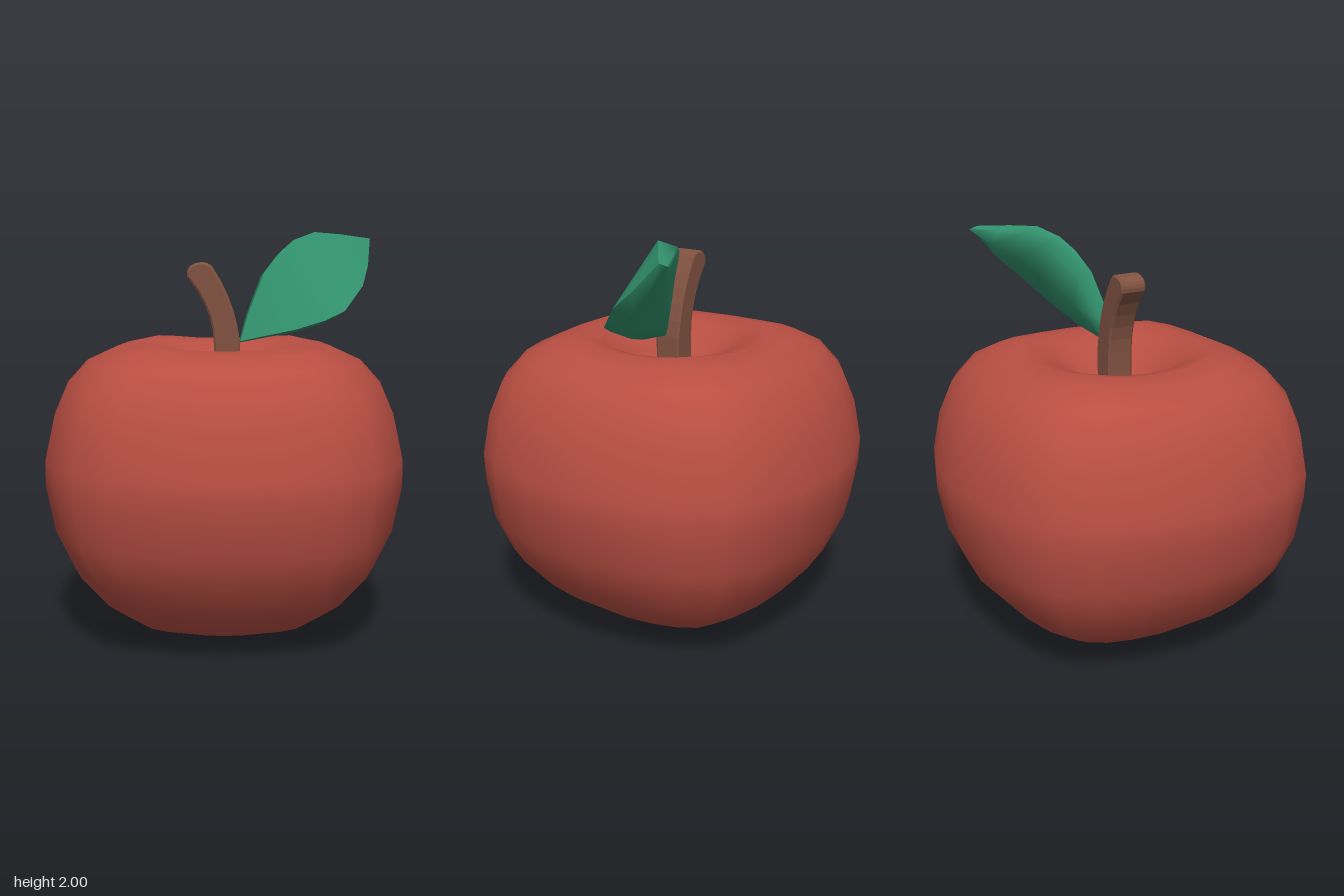
import * as THREE from 'three';
import { mergeVertices } from 'three/addons/utils/BufferGeometryUtils.js';

// Smooth skin over rows of points, all rows of equal length
function skin(rows) {
  const n = rows[0].length, index = [];
  for (let i = 0; i < rows.length - 1; i++) {
    for (let j = 0; j < n - 1; j++) {
      const a = i * n + j, c = a + n;
      index.push(a, a + 1, c, a + 1, c + 1, c);
    }
  }
  const geometry = new THREE.BufferGeometry().setFromPoints(rows.flat());
  geometry.setIndex(index);
  geometry.computeVertexNormals();
  return geometry;
}

// Lathed fruit, pushed out towards a rounded square, with a sunken top
function fruitGeometry() {
  const profile = [
    [0, 0], [0.13, 0.005], [0.27, 0.025], [0.45, 0.09], [0.62, 0.21], [0.76, 0.37],
    [0.85, 0.56], [0.895, 0.78], [0.895, 0.9], [0.85, 1.1], [0.78, 1.26], [0.68, 1.37],
    [0.56, 1.425], [0.44, 1.445], [0.33, 1.42], [0.22, 1.34], [0.11, 1.275], [0, 1.26],
  ].map(([r, y]) => new THREE.Vector2(r, y));
  let geometry = new THREE.LatheGeometry(profile, 24);
  geometry.deleteAttribute('uv');
  geometry.deleteAttribute('normal');
  const p = geometry.attributes.position;
  for (let i = 0; i < p.count; i++) {
    const x = p.getX(i), y = p.getY(i), z = p.getZ(i);
    const r = Math.hypot(x, z), a = Math.atan2(x, z);
    const corner = Math.abs(Math.sin(2 * a)) ** 2.5;
    const bulge = 1 + corner * (0.067 + 0.04 * Math.min(1, Math.abs(y - 0.8) / 0.6));
    const angle = a + 0.07 * Math.sin(4 * a);
    const rim = y > 1.2 ? Math.max(0, 1 - Math.abs(r - 0.45) / 0.3) : 0;
    p.setXYZ(i, r * bulge * Math.sin(angle), y + 0.022 * rim * corner, r * bulge * Math.cos(angle));
  }
  geometry = mergeVertices(geometry, 1e-4);
  geometry.computeVertexNormals();
  return geometry;
}

// Curved, square-sectioned stem
function stemGeometry() {
  const s = new THREE.Shape();
  s.moveTo(-0.04, 1.24);
  s.lineTo(0.07, 1.24);
  s.lineTo(0.07, 1.45);
  s.quadraticCurveTo(0.05, 1.65, -0.065, 1.82);
  s.quadraticCurveTo(-0.09, 1.85, -0.14, 1.835);
  s.quadraticCurveTo(-0.18, 1.82, -0.17, 1.78);
  s.quadraticCurveTo(-0.04, 1.62, -0.04, 1.45);
  const geometry = new THREE.ExtrudeGeometry(s, {
    depth: 0.11, curveSegments: 5, bevelThickness: 0.01, bevelSize: 0.01, bevelSegments: 1,
  });
  return geometry.translate(0, 0, -0.057);
}

export function createModel() {
  const red = new THREE.MeshStandardMaterial({ color: 0xb84e42 });
  red.name = 'appleRed';
  const brown = new THREE.MeshStandardMaterial({ color: 0x805241 });
  brown.name = 'stemBrown';
  const green = new THREE.MeshStandardMaterial({ color: 0x32926e, side: THREE.DoubleSide });
  green.name = 'leafGreen';

  const model = new THREE.Group();
  model.name = 'apple';
  const add = (parent, name, geometry, material) => {
    const mesh = new THREE.Mesh(geometry, material);
    mesh.name = name;
    parent.add(mesh);
  };

  add(model, 'fruit', fruitGeometry(), red);
  add(model, 'stem', stemGeometry(), brown);

  // Leaf stations: upper edge, lower edge, thickness
  const stations = [
    [[0.08, 1.465, 0.05], [0.081, 1.464, 0.05], 0.03],
    [[0.12, 1.6, 0.02], [0.2, 1.49, 0.05], 0.06],
    [[0.2, 1.8, -0.03], [0.35, 1.52, 0.05], 0.085],
    [[0.28, 1.9, -0.08], [0.5, 1.565, 0.035], 0.1],
    [[0.35, 1.96, -0.13], [0.6, 1.61, 0], 0.1],
    [[0.46, 2.0, -0.2], [0.7, 1.73, -0.12], 0.09],
    [[0.6, 1.99, -0.29], [0.74, 1.83, -0.25], 0.07],
    [[0.765, 1.97, -0.4], [0.765, 1.969, -0.4], 0.035],
  ].map(([u, l, t]) => ({
    u: new THREE.Vector3(...u), l: new THREE.Vector3(...l), t,
  }));
  const behind = (v, t) => v.clone().add(new THREE.Vector3(-0.2, -0.25, -1).multiplyScalar(t));
  const leaf = new THREE.Group();
  leaf.name = 'leaf';
  model.add(leaf);
  add(leaf, 'leafFace', skin(stations.map(({ u, l }) => [u, l])), green);
  add(leaf, 'leafBack', skin(stations.map(({ u, l, t }) => [
    l, behind(l, t), behind(l.clone().lerp(u, 0.5), t * 1.4), behind(u, t), u,
  ])), green);

  return model;
}
